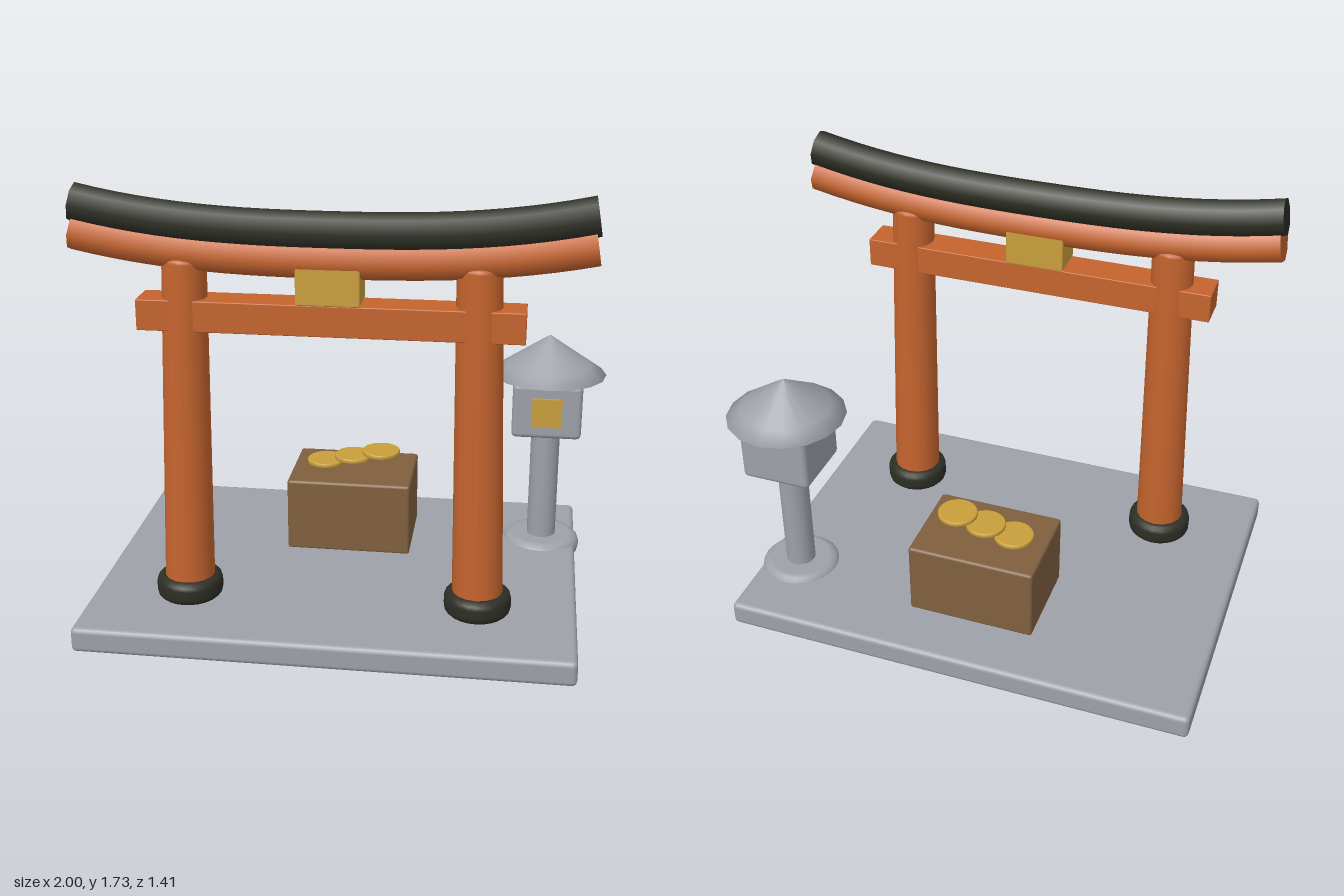
import * as THREE from 'three';
import { RoundedBoxGeometry } from 'three/addons/geometries/RoundedBoxGeometry.js';

const mat = (name, color) => {
  const m = new THREE.MeshStandardMaterial({ color });
  m.name = name;
  return m;
};

// Upright round part with softened rims, standing on its own y = 0.
function roundedDrum(rBottom, rTop, height, bevel, sides = 20) {
  const pts = [new THREE.Vector2(0, 0), new THREE.Vector2(rBottom - bevel - 0.002, 0)];
  for (let i = 0; i <= 3; i++) {
    const a = (i / 3) * Math.PI / 2;
    pts.push(new THREE.Vector2(rBottom - bevel + Math.sin(a) * bevel, bevel - Math.cos(a) * bevel));
  }
  for (let i = 0; i <= 3; i++) {
    const a = (i / 3) * Math.PI / 2;
    pts.push(new THREE.Vector2(rTop - bevel + Math.cos(a) * bevel, height - bevel + Math.sin(a) * bevel));
  }
  pts.push(new THREE.Vector2(rTop - bevel - 0.002, height), new THREE.Vector2(0, height));
  return new THREE.LatheGeometry(pts, sides);
}

// Eight-sided beam along x whose ends sweep upward.
function sweptBeam(halfLength, radius, ySquash) {
  const g = new THREE.CylinderGeometry(radius, radius, halfLength * 2, 8, 24);
  g.rotateZ(Math.PI / 2);
  const p = g.attributes.position;
  for (let i = 0; i < p.count; i++) {
    const x = p.getX(i), y = p.getY(i) * ySquash;
    const t = Math.abs(x) / halfLength;
    const rise = 0.08 * Math.pow(t, 2.6);
    const slope = Math.sign(x) * 0.17 * Math.pow(t, 1.6);
    p.setXYZ(i, x - slope * y, y + rise, p.getZ(i));
  }
  return g;
}

export function createModel() {
  const stone = mat('stone', 0x9da1a8);
  const vermilion = mat('vermilion', 0xc5642e);
  const dark = mat('dark lacquer', 0x2d2e24);
  const wood = mat('wood', 0x80603f);
  const gold = mat('gold', 0xc99f3c);

  const model = new THREE.Group();
  model.name = 'shrineGate';
  const add = (parent, name, geometry, material, x, y, z) => {
    const m = new THREE.Mesh(geometry, material);
    m.name = name;
    m.position.set(x, y, z);
    parent.add(m);
    return m;
  };
  const box = (w, h, d, r) => new RoundedBoxGeometry(w, h, d, 2, r);
  const cx = -0.043;

  // Stone slab
  add(model, 'slab', box(1.895, 0.1, 1.415, 0.02), stone, cx, 0.05, 0);

  // Gate
  const gate = new THREE.Group();
  gate.name = 'gate';
  gate.position.set(cx, 0, 0.355);
  model.add(gate);
  for (const s of [-1, 1]) {
    add(gate, 'pillarFoot', roundedDrum(0.129, 0.129, 0.092, 0.028, 24), dark, s * 0.566, 0.098, 0);
    const pillar = add(gate, 'pillar', roundedDrum(0.098, 0.083, 1.37, 0.02, 16), vermilion, s * 0.566, 0.1, 0);
    pillar.rotation.z = s * 0.021;
  }
  add(gate, 'tieBeam', box(1.42, 0.117, 0.14, 0.004), vermilion, 0, 1.257, 0);
  add(gate, 'lintel', sweptBeam(0.947, 0.083, 0.86), vermilion, 0, 1.47, 0);
  add(gate, 'topRail', sweptBeam(0.945, 0.072, 1), dark, 0, 1.575, 0);
  add(gate, 'plaque', box(0.235, 0.145, 0.147, 0.006), gold, 0, 1.386, -0.0005);

  // Offering box with coins
  add(model, 'offeringBox', box(0.515, 0.31, 0.38, 0.012), wood, cx, 0.25, -0.287);
  for (let i = 0; i < 3; i++) {
    add(model, 'coin', roundedDrum(0.08, 0.08, 0.02, 0.006, 24), gold,
      -0.163 + i * 0.118, 0.42 + i * 0.025, -0.29);
  }

  // Stone lantern
  const lantern = new THREE.Group();
  lantern.name = 'lantern';
  lantern.position.set(0.762, 0, -0.357);
  model.add(lantern);
  add(lantern, 'lanternFoot', roundedDrum(0.162, 0.162, 0.082, 0.036, 24), stone, 0, 0.038, 0);
  add(lantern, 'lanternPost', roundedDrum(0.06, 0.06, 0.5, 0.01, 20), stone, 0, 0.11, 0);
  add(lantern, 'lanternHousing', box(0.284, 0.232, 0.284, 0.02), stone, 0, 0.716, 0);
  add(lantern, 'lanternWindow', new THREE.BoxGeometry(0.122, 0.122, 0.02), gold, 0, 0.716, 0.145);
  const roof = [[0, 0.843], [0.19, 0.843], [0.237, 0.843], [0.178, 0.884], [0.06, 0.966], [0, 1.007]];
  add(lantern, 'lanternRoof',
    new THREE.LatheGeometry(roof.map(([r, y]) => new THREE.Vector2(r, y)), 16), stone, 0, 0, 0);

  return model;
}
